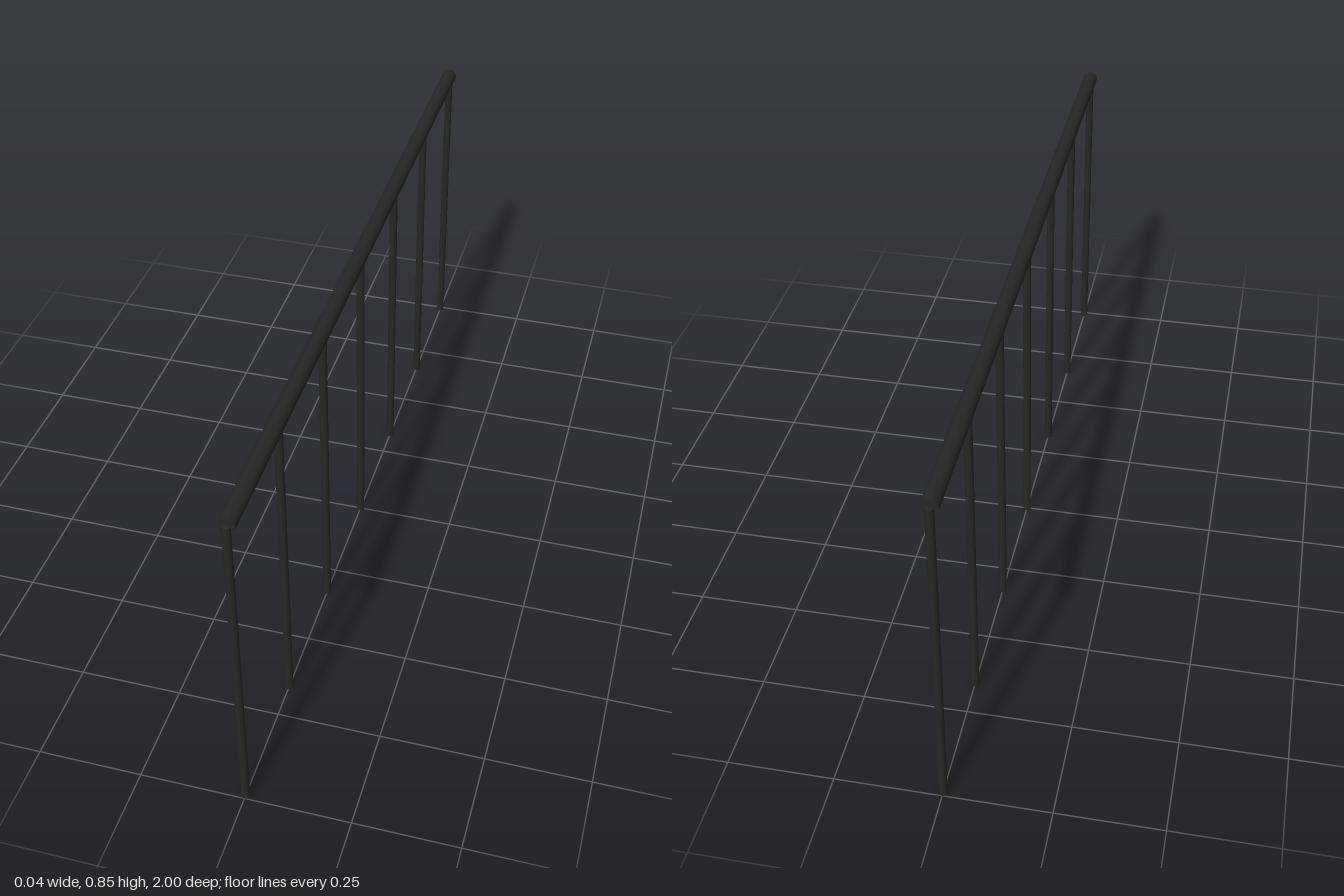
import * as THREE from 'three';

const HALF_LENGTH = 0.99;
const RAIL_HEIGHT = 0.83;
const RAIL_RADIUS = 0.0195;
const POST_RADIUS = 0.01;
const POST_COUNT = 7;

export function createModel() {
  const model = new THREE.Group();
  model.name = 'handrail';
  const metal = new THREE.MeshStandardMaterial({ color: 0x262828 });

  // Round top rail running front to back
  const railGeometry = new THREE.CylinderGeometry(RAIL_RADIUS, RAIL_RADIUS, HALF_LENGTH * 2, 16);
  railGeometry.rotateX(Math.PI / 2);
  const rail = new THREE.Mesh(railGeometry, metal);
  rail.name = 'topRail';
  rail.position.y = RAIL_HEIGHT;
  model.add(rail);

  // Evenly spaced posts, each reaching the rail's centre line
  const postGeometry = new THREE.CylinderGeometry(POST_RADIUS, POST_RADIUS, RAIL_HEIGHT, 16);
  for (let i = 0; i < POST_COUNT; i++) {
    const post = new THREE.Mesh(postGeometry, metal);
    post.name = `post${i + 1}`;
    post.position.set(0, RAIL_HEIGHT / 2, HALF_LENGTH * (1 - (2 * i) / (POST_COUNT - 1)));
    model.add(post);
  }

  return model;
}
